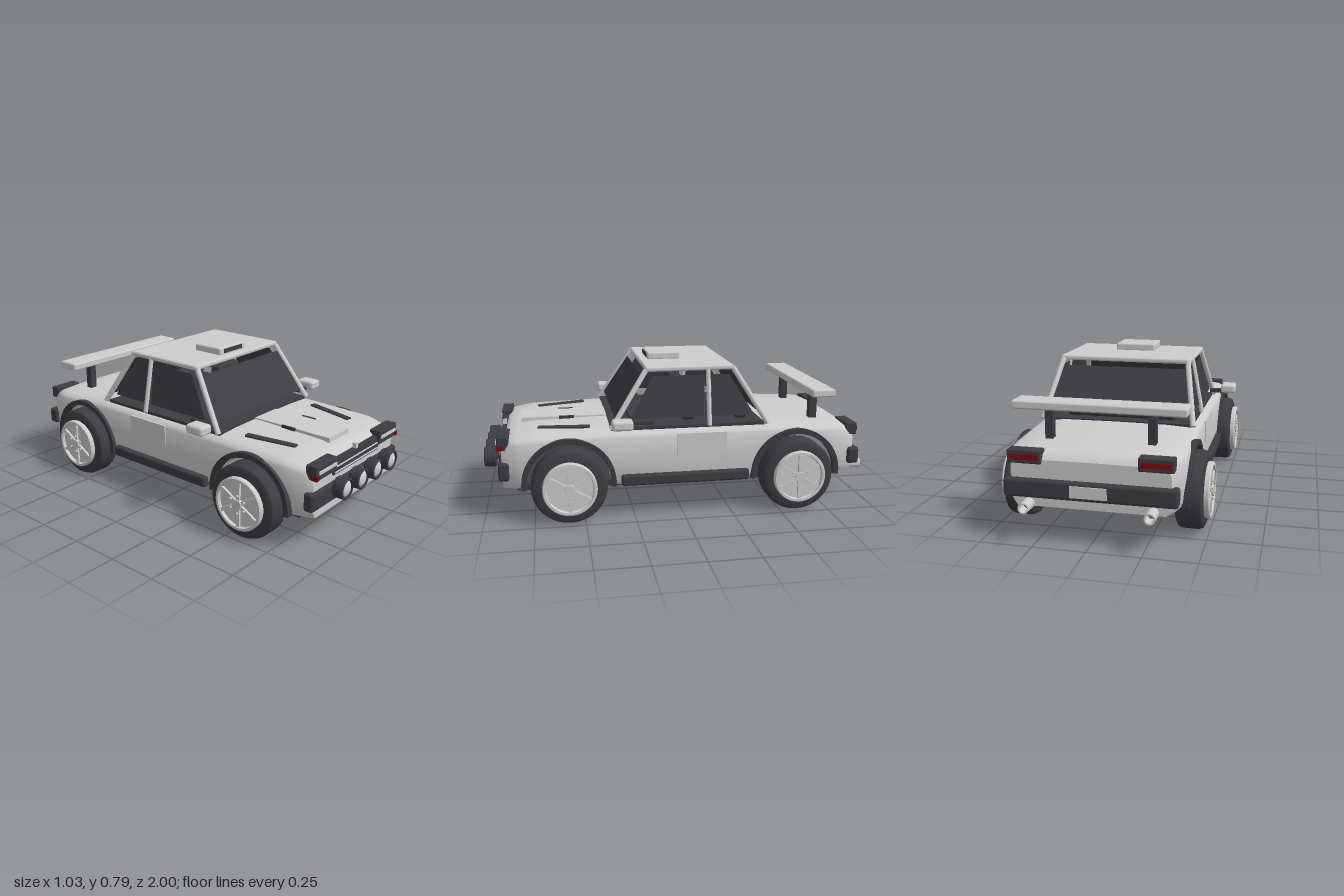
import * as THREE from 'three';
import { toCreasedNormals } from 'three/addons/utils/BufferGeometryUtils.js';
import { RoundedBoxGeometry } from 'three/addons/geometries/RoundedBoxGeometry.js';

const makeMaterial = (name, color, side = THREE.FrontSide) => {
  const m = new THREE.MeshStandardMaterial({ color, side });
  m.name = name;
  return m;
};

export function createModel() {
  const car = new THREE.Group();
  car.name = 'rallyCar';
  const paint = makeMaterial('lightGreyPaint', 0xcccccc);
  const dark = makeMaterial('darkTrim', 0x3d3c42, THREE.DoubleSide);
  const red = makeMaterial('redLens', 0x7c0a10);
  const wheelZ = [0.575, -0.59], wheelY = 0.187, archR = 0.212;

  const add = (name, geo, mat, x = 0, y = 0, z = 0, parent = car) => {
    const m = new THREE.Mesh(geo, mat);
    m.name = name;
    m.position.set(x, y, z);
    parent.add(m);
    return m;
  };
  // Box given by its limits on each axis
  const box = (name, mat, [x0, x1], [y0, y1], [z0, z1], r = 0) => {
    const s = [x1 - x0, y1 - y0, z1 - z0];
    const geo = r ? new RoundedBoxGeometry(...s, 2, r) : new THREE.BoxGeometry(...s);
    return add(name, geo, mat, (x0 + x1) / 2, (y0 + y1) / 2, (z0 + z1) / 2);
  };
  // The same box on both sides
  const pair = (name, mat, [x0, x1], y, z, r = 0) => {
    box(name + 'Left', mat, [x0, x1], y, z, r);
    box(name + 'Right', mat, [-x1, -x0], y, z, r);
  };
  const rod = (name, mat, a, b, r) => {
    const A = new THREE.Vector3(...a), B = new THREE.Vector3(...b);
    const m = add(name, new THREE.CylinderGeometry(r, r, A.distanceTo(B), 12), mat);
    m.position.copy(A).lerp(B, 0.5);
    m.quaternion.setFromUnitVectors(new THREE.Vector3(0, 1, 0), B.sub(A).normalize());
  };
  const pane = (name, corners) => {
    const g = new THREE.BufferGeometry();
    g.setAttribute('position', new THREE.Float32BufferAttribute(corners.flat(), 3));
    g.setIndex([0, 1, 2, 0, 2, 3]);
    g.computeVertexNormals();
    add(name, g, dark);
  };

  // Body shell: cross-sections along z, with the lower edge following the arches
  const topLine = [[-0.92, 0.385], [-0.9, 0.41], [-0.85, 0.432], [-0.44, 0.45], [0.4, 0.45], [0.75, 0.44], [0.86, 0.425], [0.9, 0.39]];
  const topAt = z => {
    const k = Math.max(1, topLine.findIndex(p => p[0] >= z - 1e-6));
    const [a, b] = [topLine[k - 1], topLine[k]];
    return THREE.MathUtils.lerp(a[1], b[1], (z - a[0]) / (b[0] - a[0]));
  };
  const stations = topLine.map(p => [p[0], 0.165]);
  stations.push([-0.88, 0.165], [0.82, 0.165], [0.88, 0.165]);
  for (const zc of wheelZ) {
    for (const s of [-1, 1]) stations.push([zc + s * (archR + 0.001), 0.165]);
    for (let i = 0; i <= 20; i++) {
      const t = Math.PI * i / 20;
      stations.push([zc + archR * Math.cos(t), wheelY + archR * Math.sin(t)]);
    }
  }
  // Stations that fall inside an arch are replaced by the arch curve
  const clean = stations.filter(([z, b]) => b > 0.17 || wheelZ.every(zc => Math.abs(z - zc) > archR)).sort((a, b) => a[0] - b[0]);
  const pos = [], idx = [];
  for (const [z, b] of clean) {
    const t = Math.max(0, (z - 0.72) / 0.18, (-0.76 - z) / 0.16);
    const w = 0.412 - 0.045 * t * t, top = topAt(z);
    const half = [
      [w - (b < 0.17 ? 0.025 : 0.005), b], [w - 0.004, Math.max(0.2, b + 0.003)], [w, Math.max(0.3, b + 0.006)],
      [w, Math.max(top - 0.04, b + 0.009)], [w - 0.01, top - 0.024], [w - 0.035, top - 0.01], [w * 0.6, top - 0.002], [0, top],
    ];
    for (const [x, y] of half) pos.push(x, y, z);
    for (const [x, y] of half.slice(0, -1).reverse()) pos.push(-x, y, z);
  }
  const n = 15, last = (clean.length - 1) * n;
  for (let i = 0; i < clean.length - 1; i++) {
    for (let j = 0; j < n; j++) {
      const a = i * n + j, b = i * n + (j + 1) % n;
      idx.push(a, b, b + n, a, b + n, a + n);
    }
  }
  for (let j = 1; j < n - 1; j++) idx.push(0, j + 1, j, last, last + j, last + j + 1);
  const shell = new THREE.BufferGeometry();
  shell.setAttribute('position', new THREE.Float32BufferAttribute(pos, 3));
  shell.setIndex(idx);
  add('bodyShell', toCreasedNormals(shell, 0.6), paint);
  box('underfloor', dark, [-0.36, 0.36], [0.15, 0.18], [-0.84, 0.83]);
  box('cabinFloor', dark, [-0.375, 0.375], [0.44, 0.455], [-0.43, 0.36]);

  // Arch flares
  const flare = new THREE.Shape();
  flare.absarc(0, 0, 0.234, -0.08, Math.PI + 0.08, false);
  flare.absarc(0, 0, 0.208, Math.PI + 0.08, -0.08, true);
  const flareGeo = new THREE.ExtrudeGeometry(flare, { depth: 0.035, bevelEnabled: false, curveSegments: 28 });
  flareGeo.translate(0, 0, -0.0175).rotateY(Math.PI / 2);

  // Wheels, built with the outer face towards +x
  const lathe = (pts, seg = 48) => toCreasedNormals(
    new THREE.LatheGeometry(pts.map(p => new THREE.Vector2(...p)), seg).rotateZ(-Math.PI / 2), 0.6);
  const tyreGeo = lathe([[0.125, -0.064], [0.165, -0.064], [0.18, -0.056], [0.187, -0.04],
    [0.187, 0.04], [0.18, 0.056], [0.165, 0.064], [0.125, 0.064]]);
  const rimGeo = lathe([[0, -0.05], [0.128, -0.05], [0.134, 0.06], [0.134, 0.085], [0.13, 0.09],
    [0.118, 0.09], [0.114, 0.074], [0, 0.074]]);
  const hubGeo = new THREE.CylinderGeometry(0.024, 0.026, 0.022, 20).rotateZ(-Math.PI / 2);
  const spokeGeo = new THREE.BoxGeometry(0.014, 0.1, 0.018).translate(0, 0.066, 0);
  const boltGeo = new THREE.CylinderGeometry(0.006, 0.006, 0.014, 8).rotateZ(-Math.PI / 2);
  for (const s of [1, -1]) {
    wheelZ.forEach((z, k) => {
      const wheel = new THREE.Group();
      wheel.name = (k ? 'rear' : 'front') + 'Wheel' + (s > 0 ? 'Left' : 'Right');
      wheel.position.set(s * 0.414, wheelY, z);
      if (s < 0) wheel.rotation.y = Math.PI;
      car.add(wheel);
      add('tyre', tyreGeo, dark, 0, 0, 0, wheel);
      add('rim', rimGeo, paint, 0, 0, 0, wheel);
      add('hub', hubGeo, paint, 0.081, 0, 0, wheel);
      for (let i = 0; i < 6; i++) {
        const a = i * Math.PI / 3;
        add('spoke', spokeGeo, paint, 0.079, 0, 0, wheel).rotation.x = a;
        add('bolt', boltGeo, paint, 0.09, 0.045 * Math.cos(a), 0.045 * Math.sin(a), wheel);
      }
      add('archFlare', flareGeo, dark, s * 0.412, wheelY, z);
    });
  }

  // Cabin: roof, pillars and glass
  box('roof', paint, [-0.34, 0.34], [0.724, 0.75], [-0.275, 0.18], 0.01);
  box('roofVent', paint, [-0.105, 0.105], [0.745, 0.786], [-0.035, 0.138], 0.01);
  box('roofVentSlot', dark, [-0.075, 0.075], [0.756, 0.778], [0.13, 0.141]);
  for (const s of [1, -1]) {
    rod('frontPillar', paint, [s * 0.383, 0.45, 0.36], [s * 0.325, 0.735, 0.175], 0.014);
    rod('middlePillar', paint, [s * 0.383, 0.45, -0.14], [s * 0.328, 0.735, -0.14], 0.012);
    rod('rearPillar', paint, [s * 0.383, 0.45, -0.445], [s * 0.325, 0.735, -0.27], 0.014);
    pane('frontSideGlass', [[s * 0.37, 0.495, 0.265], [s * 0.37, 0.495, -0.11], [s * 0.33, 0.702, -0.125], [s * 0.33, 0.702, 0.14]]);
    pane('rearSideGlass', [[s * 0.37, 0.495, -0.155], [s * 0.37, 0.495, -0.375], [s * 0.33, 0.702, -0.25], [s * 0.33, 0.702, -0.155]]);
  }
  pane('windscreen', [[-0.37, 0.49, 0.335], [0.37, 0.49, 0.335], [0.32, 0.702, 0.198], [-0.32, 0.702, 0.198]]);
  pane('rearGlass', [[0.36, 0.49, -0.42], [-0.36, 0.49, -0.42], [-0.32, 0.702, -0.29], [0.32, 0.702, -0.29]]);

  // Interior
  pair('frontSeat', dark, [0.08, 0.27], [0.45, 0.62], [-0.09, -0.02], 0.02);
  box('rearBench', dark, [-0.28, 0.28], [0.45, 0.54], [-0.365, -0.3], 0.02);
  box('dashboard', dark, [-0.34, 0.34], [0.45, 0.472], [0.14, 0.25]);
  add('steeringWheel', new THREE.TorusGeometry(0.05, 0.007, 8, 24), dark, 0.17, 0.5, 0.11).rotation.x = -0.4;

  // Bonnet panel, vents and clips
  box('bonnetPanel', paint, [-0.09, 0.09], [0.43, 0.456], [0.36, 0.805]);
  pair('bonnetClip', dark, [0.086, 0.097], [0.44, 0.459], [0.53, 0.61]);
  for (const s of [1, -1]) {
    const vent = add('bonnetVent', new RoundedBoxGeometry(0.036, 0.012, 0.265, 2, 0.005), dark, s * 0.267, 0.444, 0.59);
    vent.rotation.set(0.03, -s * 0.2, 0);
  }
  box('bonnetBadge', paint, [-0.01, 0.01], [0.405, 0.43], [0.885, 0.905]);

  // Front end
  box('frontBumper', dark, [-0.397, 0.397], [0.21, 0.303], [0.865, 0.918], 0.015);
  box('frontPlate', paint, [-0.08, 0.08], [0.24, 0.292], [0.915, 0.923]);
  box('grille', dark, [-0.21, 0.21], [0.335, 0.405], [0.87, 0.908]);
  for (const y of [0.345, 0.373]) box('grilleBar', paint, [-0.2, 0.2], [y - 0.003, y + 0.003], [0.904, 0.912]);
  pair('headlightHousing', dark, [0.2, 0.376], [0.362, 0.432], [0.86, 0.92], 0.006);
  pair('headlightLens', paint, [0.21, 0.36], [0.392, 0.408], [0.916, 0.925]);
  pair('frontIndicator', red, [0.357, 0.38], [0.365, 0.388], [0.89, 0.924]);
  const cupGeo = lathe([[0, -0.03], [0.047, -0.03], [0.052, -0.024], [0.052, 0.026], [0.045, 0.03], [0.043, 0.0]], 32).rotateY(-Math.PI / 2);
  const domeGeo = new THREE.SphereGeometry(0.046, 28, 14).scale(1, 1, 0.65);
  for (const x of [-0.215, -0.072, 0.072, 0.215]) {
    add('spotlightCup', cupGeo, dark, x, 0.292, 0.962);
    add('spotlightLens', domeGeo, paint, x, 0.292, 0.966);
    box('spotlightBracket', dark, [x - 0.012, x + 0.012], [0.28, 0.3], [0.9, 0.94]);
  }

  // Sides
  pair('sideSkirt', dark, [0.385, 0.44], [0.168, 0.222], [-0.34, 0.315], 0.012);
  pair('doorPanel', paint, [0.405, 0.417], [0.31, 0.422], [-0.222, 0.03]);
  pair('mirror', paint, [0.435, 0.515], [0.472, 0.52], [0.262, 0.365], 0.014);
  pair('mirrorArm', dark, [0.37, 0.445], [0.468, 0.488], [0.295, 0.325]);

  // Rear end
  box('rearBumper', dark, [-0.4, 0.4], [0.21, 0.297], [-0.948, -0.885], 0.015);
  box('rearPlate', paint, [-0.085, 0.085], [0.228, 0.282], [-0.954, -0.946]);
  pair('tailLightHousing', dark, [0.22, 0.38], [0.365, 0.428], [-0.935, -0.875], 0.006);
  pair('tailLightLens', red, [0.232, 0.368], [0.384, 0.409], [-0.941, -0.933]);
  const pipeGeo = lathe([[0.02, 0.01], [0.02, -0.05], [0.026, -0.05], [0.026, 0.09], [0, 0.09]], 20).rotateY(-Math.PI / 2);
  for (const x of [-0.285, 0.285]) add('exhaust', pipeGeo, paint, x, 0.178, -0.95);
  box('rearWing', paint, [-0.41, 0.41], [0.577, 0.618], [-0.795, -0.672], 0.01);
  pair('wingStrut', dark, [0.225, 0.262], [0.43, 0.58], [-0.752, -0.712]);
  return car;
}
